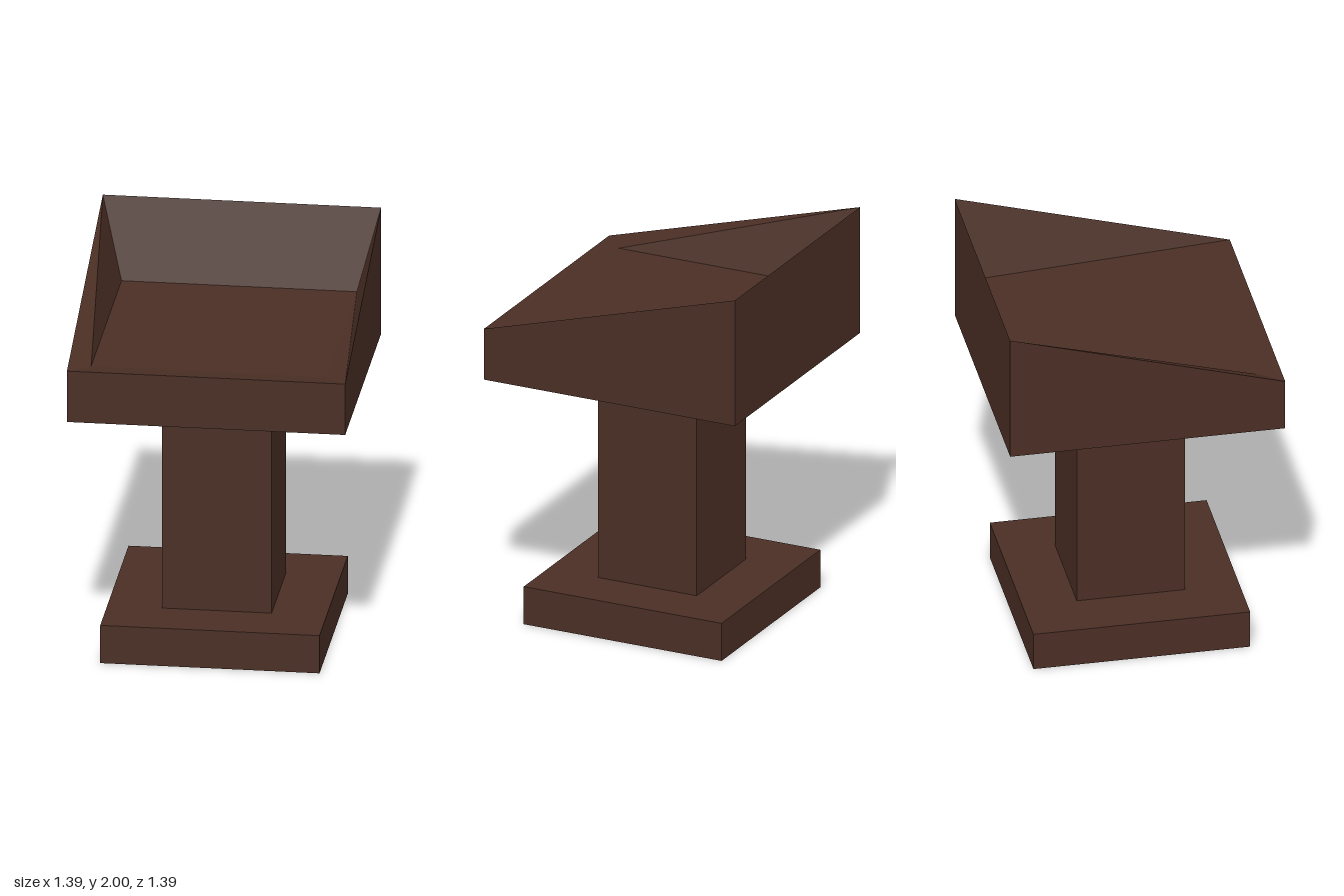
import * as THREE from 'three';

// Square loop of four corners, counter-clockwise seen from above, starting front right
function squareLoop(half, yFront, yBack) {
  return [
    [-half, yFront, half],
    [half, yFront, half],
    [half, yBack, -half],
    [-half, yBack, -half],
  ];
}

// Skin stacked square loops with flat quads and cap both ends
function loftSquares(loops) {
  const positions = [];
  const quad = (a, b, c, d) => positions.push(...a, ...b, ...c, ...a, ...c, ...d);
  for (let i = 0; i < loops.length - 1; i++) {
    for (let j = 0; j < 4; j++) {
      const k = (j + 1) % 4;
      quad(loops[i][j], loops[i][k], loops[i + 1][k], loops[i + 1][j]);
    }
  }
  const first = loops[0];
  const last = loops[loops.length - 1];
  quad(first[3], first[2], first[1], first[0]);
  quad(last[0], last[1], last[2], last[3]);
  const geometry = new THREE.BufferGeometry();
  geometry.setAttribute('position', new THREE.Float32BufferAttribute(positions, 3));
  geometry.computeVertexNormals();
  return geometry;
}

export function createModel() {
  const model = new THREE.Group();
  model.name = 'lectern';
  const wood = new THREE.MeshStandardMaterial({ color: 0x4a2e24 });
  wood.name = 'dark brown wood';

  const add = (name, geometry, y = 0) => {
    const mesh = new THREE.Mesh(geometry, wood);
    mesh.name = name;
    mesh.position.y = y;
    model.add(mesh);
  };

  // Square foot and post
  add('base', new THREE.BoxGeometry(1.094, 0.2, 1.094), 0.1);
  add('post', new THREE.BoxGeometry(0.546, 1.13, 0.546), 0.765);

  // Tray: sloping knife-edge rim, walls tapering inward to a flat floor
  add('tray', loftSquares([
    squareLoop(0.694, 1.33, 1.33),
    squareLoop(0.694, 1.6, 2),
    squareLoop(0.587, 1.59, 1.59),
  ]));

  return model;
}
